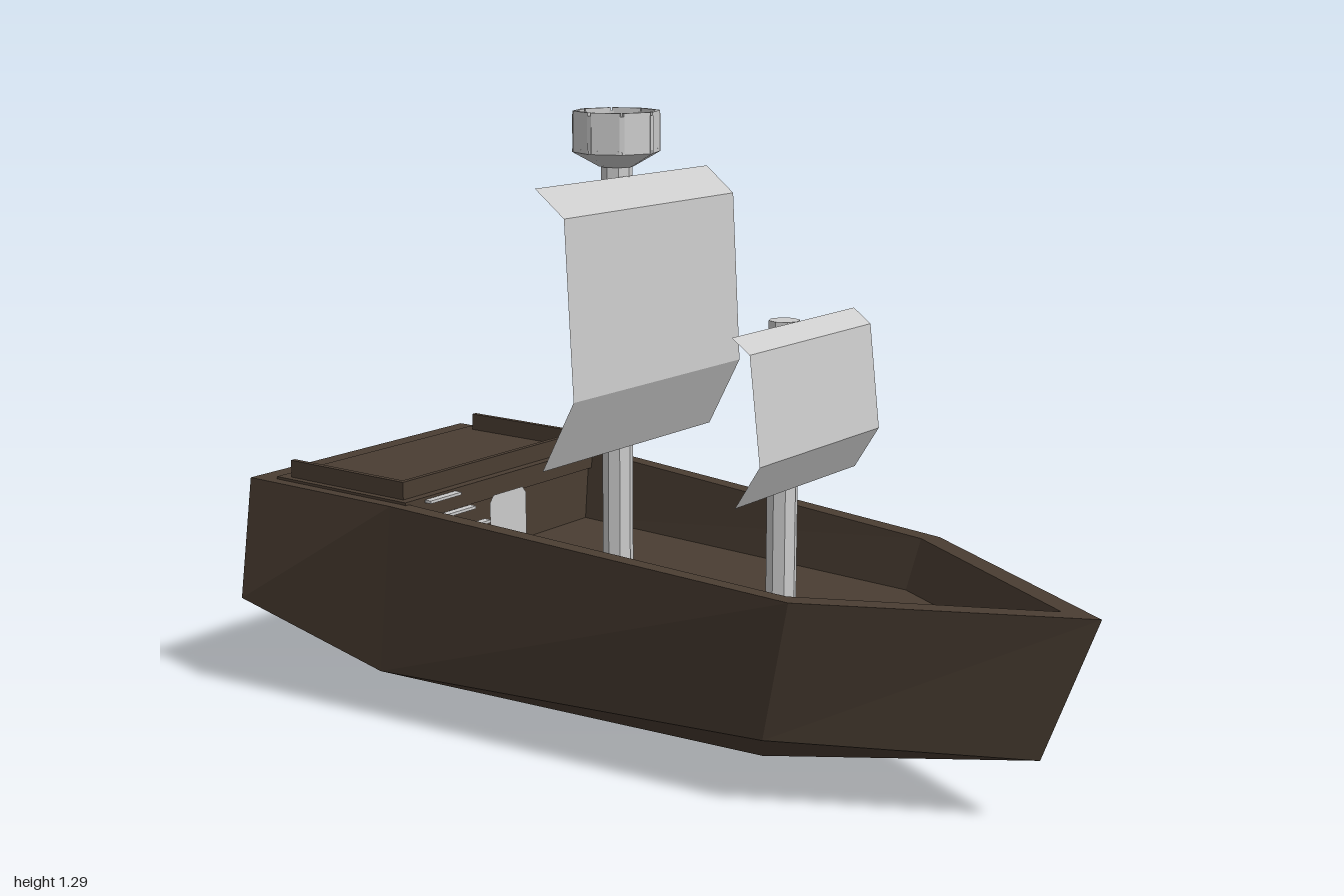
import * as THREE from 'three';

const wood = new THREE.MeshStandardMaterial({ color: 0x4a3d32, flatShading: true, side: THREE.DoubleSide });
const grey = new THREE.MeshStandardMaterial({ color: 0xcccccc, flatShading: true, side: THREE.DoubleSide });

// Flat polygons (convex, counter-clockwise), fanned into triangles
function facets(polygons) {
  const out = [];
  for (const p of polygons)
    for (let i = 1; i < p.length - 1; i++) out.push(...p[0], ...p[i], ...p[i + 1]);
  const g = new THREE.BufferGeometry();
  g.setAttribute('position', new THREE.Float32BufferAttribute(out, 3));
  g.computeVertexNormals();
  return g;
}
const flip = ([x, y, z]) => [-x, y, z];
const mirrored = (polys) => [...polys, ...polys.map((p) => p.map(flip).reverse())];

export function createModel() {
  const model = new THREE.Group();
  const add = (name, geometry, material, x = 0, y = 0, z = 0, parent = model) => {
    const m = new THREE.Mesh(geometry, material);
    m.name = name;
    m.position.set(x, y, z);
    parent.add(m);
    return m;
  };
  const box = (name, mat, w, h, d, x, y, z, parent) =>
    add(name, new THREE.BoxGeometry(w, h, d), mat, x, y, z, parent);

  // Hull corner points from bow to stern: rim, chine, keel and inner rim
  const rim = [[0, 0.43, 1], [0.28, 0.44, 0.51], [0.34, 0.487, -0.43], [0.34, 0.487, -0.845]];
  const chine = [[0, 0.135, 0.89], [0.24, 0.143, 0.43], [0.31, 0.108, -0.5], [0.36, 0.215, -0.868]];
  const inner = [[0, 0.43, 0.92], [0.248, 0.44, 0.485], [0.305, 0.487, -0.42], [0.305, 0.487, -0.8]];
  const floor = [[0, 0.33, 0.875], [0.235, 0.33, 0.46], [0.29, 0.33, -0.42], [0.29, 0.33, -0.8]];
  const keel = [0, 0.0, 0.27];
  const sternLow = [0.24, 0.147, -0.88];

  const half = [];
  const deckHalf = [];
  for (let i = 0; i < 3; i++) {
    half.push([chine[i], chine[i + 1], rim[i + 1], rim[i]]);
    half.push([rim[i], rim[i + 1], inner[i + 1], inner[i]]);
    half.push([inner[i], inner[i + 1], floor[i + 1], floor[i]]);
    const centre = (p) => [0, p[1], p[2]];
    deckHalf.push([floor[i], floor[i + 1], centre(floor[i + 1]), centre(floor[i])]);
  }
  half.push([chine[0], keel, chine[1]], [chine[1], keel, chine[2]]);
  half.push([chine[2], keel, sternLow], [chine[2], sternLow, chine[3]]);
  const transom = [sternLow, flip(sternLow), flip(chine[3]), flip(rim[3]), rim[3], chine[3]];
  const under = [sternLow, keel, flip(sternLow)];
  const sternRim = [inner[3], rim[3], flip(rim[3]), flip(inner[3])];
  add('hull', facets([...mirrored(half), transom, under, sternRim]), wood);
  add('deck', facets(mirrored(deckHalf)), wood);

  // Stern cabin with its raised deck and low rails
  box('cabin', wood, 0.6, 0.15, 0.38, 0, 0.405, -0.61);
  box('quarterdeck', wood, 0.63, 0.045, 0.38, 0, 0.47, -0.6);
  for (const s of [-1, 1]) box('sideRail', wood, 0.012, 0.04, 0.33, s * 0.294, 0.51, -0.595);
  box('frontRail', wood, 0.6, 0.04, 0.012, 0, 0.51, -0.436);

  // Cabin door with clipped top corners
  add('door', facets([[[-0.06, 0.33, 0], [0.06, 0.33, 0], [0.06, 0.44, 0], [0.048, 0.455, 0],
    [-0.048, 0.455, 0], [-0.06, 0.44, 0]]]), grey, 0, 0, -0.403);

  // Steps up to the quarterdeck
  const stairs = new THREE.Group();
  stairs.name = 'stairs';
  model.add(stairs);
  for (let i = 0; i < 7; i++)
    box('step', grey, 0.083 + i * 0.002, 0.006, 0.017, -0.212, 0.345 + i * 0.0233, -0.15 - i * 0.0415, stairs);

  // Masts
  const mast = (name, radius, top, z) =>
    add(name, new THREE.CylinderGeometry(radius, radius, top - 0.33, 8), grey, 0, (top + 0.33) / 2, z);
  mast('mainMast', 0.032, 1.2, -0.1);
  mast('foreMast', 0.031, 0.905, 0.31);

  // Crow's nest: a flared bowl ringed with upright boards
  const nest = new THREE.Group();
  nest.name = 'lookout';
  nest.position.z = -0.1;
  model.add(nest);
  const bowl = [[0, 1.178], [0.036, 1.178], [0.09, 1.208], [0.09, 1.215], [0, 1.215]];
  add('lookoutBowl', new THREE.LatheGeometry(bowl.map((p) => new THREE.Vector2(...p)), 8), grey, 0, 0, 0, nest);
  for (let i = 0; i < 8; i++) {
    const a = ((i + 0.5) * Math.PI) / 4;
    const board = box('lookoutBoard', grey, 0.06, 0.082, 0.008, Math.sin(a) * 0.079, 1.249, Math.cos(a) * 0.079, nest);
    board.rotation.y = a;
    const b = (i * Math.PI) / 4;
    const post = box('lookoutPost', grey, 0.01, 0.075, 0.01, Math.sin(b) * 0.084, 1.246, Math.cos(b) * 0.084, nest);
    post.rotation.y = b;
  }

  // Sails: bent sheets, each row is [left edge, right edge, y, z]
  const sail = (name, rows) => {
    const strips = [];
    for (let i = 0; i < rows.length - 1; i++) {
      const [a, b, y, z] = rows[i];
      const [c, d, v, w] = rows[i + 1];
      strips.push([[a, y, z], [b, y, z], [d, v, w], [c, v, w]]);
    }
    add(name, facets(strips), grey);
  };
  sail('mainSail', [[-0.292, 0.273, 0.605, -0.06], [-0.28, 0.284, 0.75, 0.01],
    [-0.28, 0.284, 1.105, -0.01], [-0.293, 0.272, 1.16, -0.07]]);
  sail('foreSail', [[-0.222, 0.206, 0.58, 0.35], [-0.214, 0.214, 0.665, 0.4],
    [-0.214, 0.214, 0.875, 0.375], [-0.222, 0.207, 0.905, 0.34]]);

  // Rudder fin
  add('rudder', facets([[[0, 0.26, -0.868], [0, 0.12, -0.89], [0, 0.17, -1]]]), grey);

  return model;
}
